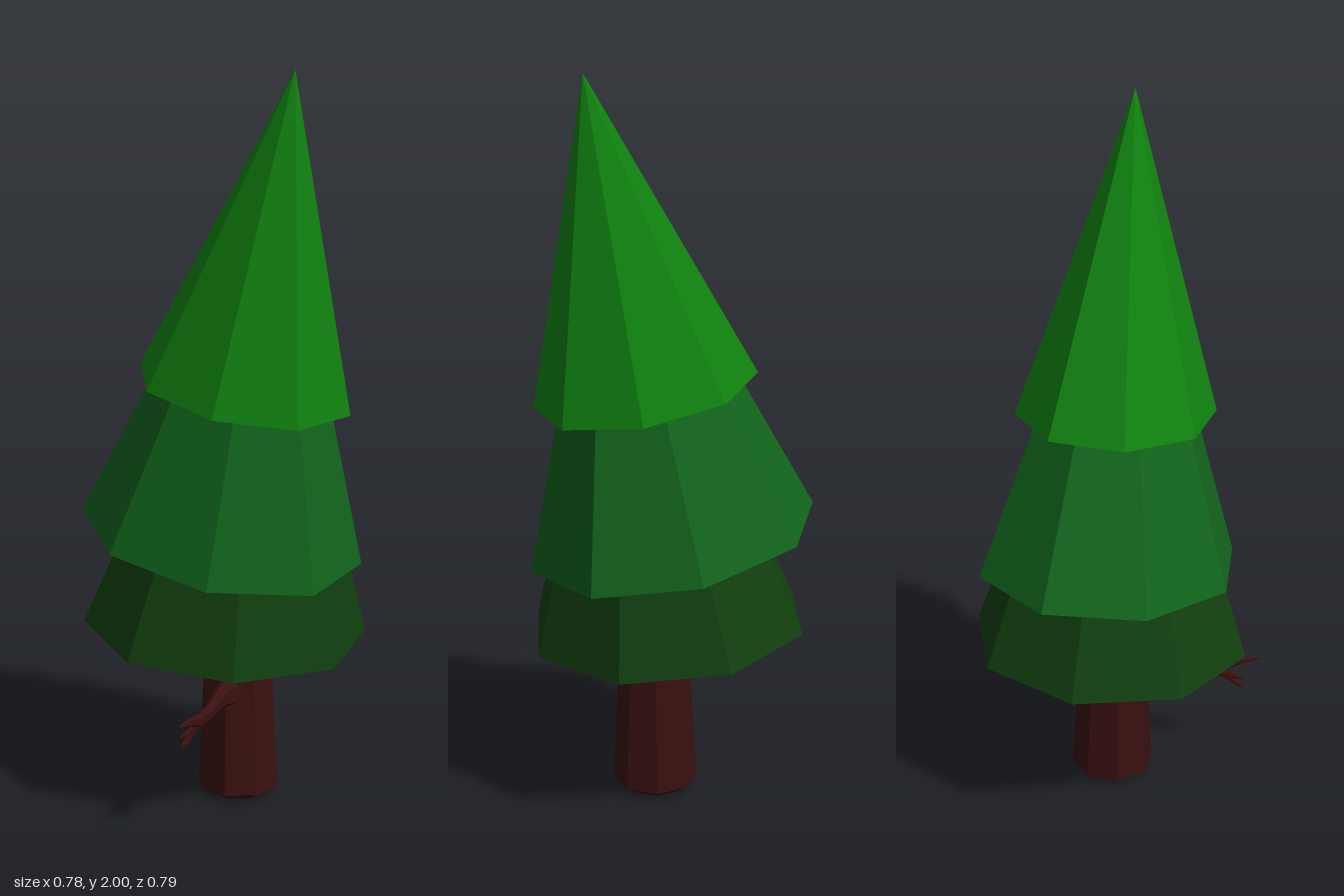
import * as THREE from 'three';

// Faceted, capped solid through a list of rings (arrays of Vector3 of equal length).
function loft(name, rings, color) {
  const pos = [];
  const n = rings[0].length;
  const tri = (...pts) => pts.forEach((p) => pos.push(p.x, p.y, p.z));
  const centre = (ring) => ring.reduce((s, p) => s.add(p), new THREE.Vector3()).divideScalar(n);
  const first = rings[0], last = rings[rings.length - 1];
  const c0 = centre(first), c1 = centre(last);
  for (let i = 0; i < n; i++) {
    const j = (i + 1) % n;
    for (let k = 0; k + 1 < rings.length; k++) {
      const a = rings[k], b = rings[k + 1];
      tri(a[i], b[i], a[j]);
      if (b[i].distanceTo(b[j]) > 1e-6) tri(a[j], b[i], b[j]);
    }
    tri(c0, first[i], first[j]);
    if (last[i].distanceTo(last[j]) > 1e-6) tri(c1, last[j], last[i]);
  }
  const geo = new THREE.BufferGeometry();
  geo.setAttribute('position', new THREE.Float32BufferAttribute(pos, 3));
  geo.computeVertexNormals();
  const mesh = new THREE.Mesh(geo, new THREE.MeshStandardMaterial({ color, flatShading: true }));
  mesh.name = name;
  return mesh;
}

const ringOf = (n, phase, at) => Array.from({ length: n }, (_, i) => {
  const a = phase + (i / n) * Math.PI * 2;
  return at(Math.cos(a), Math.sin(a));
});

// Horizontal ring; slope tips it so that its front hangs lower.
const flatRing = ([x, y, z], rx, rz, phase = 0, slope = 0) =>
  ringOf(8, phase, (c, s) => new THREE.Vector3(x + rx * c, y - slope * rz * s, z + rz * s));

// Upright ring, for limbs growing towards -x.
const limbRing = ([x, y, z, ry, rz]) =>
  ringOf(6, 0, (c, s) => new THREE.Vector3(x, y + ry * c, z + rz * s));

export function createModel() {
  const tree = new THREE.Group();
  tree.name = 'pineTree';
  const bark = 0x3a1010;

  // Trunk with a chamfered foot
  const p = Math.PI / 8;
  tree.add(loft('trunk', [
    flatRing([0.008, 0, 0.052], 0.08, 0.08, p),
    flatRing([0.008, 0.022, 0.052], 0.115, 0.115, p),
    flatRing([0.004, 0.56, 0.054], 0.088, 0.088, p),
  ], bark));

  // Leaning foliage cones, lowest first
  const tiers = [
    { name: 'lowerFoliage', base: [0.002, 0.47, 0.01], rx: 0.385, rz: 0.383, phase: 0, slope: 0.078, apex: [0, 1.62, 0.14], color: 0x123f10 },
    { name: 'middleFoliage', base: [0.003, 0.722, -0.007], rx: 0.356, rz: 0.396, phase: 0.207, slope: 0.162, apex: [0, 1.82, 0.19], color: 0x12641c },
    { name: 'upperFoliage', base: [0.003, 1.147, 0.075], rx: 0.268, rz: 0.303, phase: p + 0.02, slope: 0.153, apex: [0, 2, 0.245], color: 0x108210 },
  ];
  for (const t of tiers) {
    tree.add(loft(t.name, [
      flatRing(t.base, t.rx, t.rz, t.phase, t.slope),
      flatRing(t.apex, 0, 0),
    ], t.color));
  }

  // Bare branch and its twig: x, y, z, half height, half depth
  const branch = new THREE.Group();
  branch.name = 'branch';
  branch.add(loft('branchLimb', [
    [-0.05, 0.315, 0.08, 0.05, 0.04],
    [-0.12, 0.32, 0.10, 0.032, 0.026],
    [-0.20, 0.313, 0.135, 0.02, 0.018],
    [-0.28, 0.317, 0.165, 0.018, 0.016],
    [-0.33, 0.333, 0.18, 0.012, 0.01],
    [-0.39, 0.342, 0.2, 0.003, 0.003],
  ].map(limbRing), bark));
  branch.add(loft('twig', [
    [-0.25, 0.314, 0.152, 0.014, 0.013],
    [-0.30, 0.295, 0.162, 0.014, 0.011],
    [-0.325, 0.272, 0.164, 0.012, 0.009],
    [-0.346, 0.262, 0.164, 0.004, 0.005],
  ].map(limbRing), bark));
  branch.add(loft('twigSpur', [
    [-0.29, 0.302, 0.162, 0.012, 0.01],
    [-0.325, 0.292, 0.163, 0.009, 0.008],
    [-0.348, 0.29, 0.162, 0.003, 0.004],
  ].map(limbRing), bark));
  tree.add(branch);

  return tree;
}
